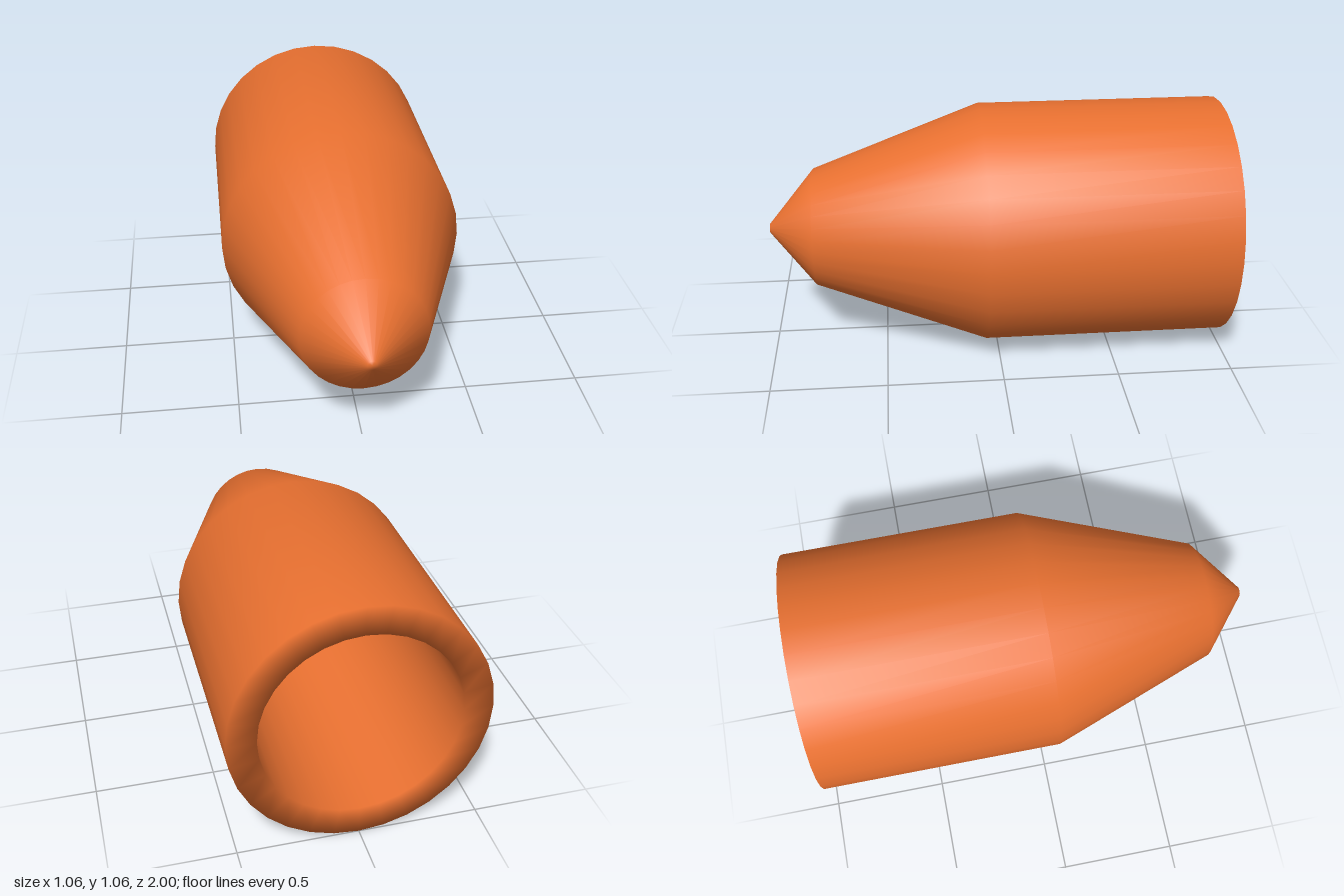
import * as THREE from 'three';

export function createModel() {
  const group = new THREE.Group();
  group.name = 'hollowPointedShell';

  // Profile as [radius, z]: down the inner cavity, across the rear rim, up the outside to the tip
  const profile = [
    [0, 0.8], [0.2, 0.7], [0.41, 0.06], [0.41, -1],
    [0.53, -1], [0.53, 0.06], [0.26, 0.8], [0.02, 1], [0, 1],
  ].map(([r, z]) => new THREE.Vector2(r, z));

  // Revolve, then lay the axis along z with the tip to the front
  const geometry = new THREE.LatheGeometry(profile, 32);
  geometry.rotateX(Math.PI / 2);

  const shell = new THREE.Mesh(geometry, new THREE.MeshStandardMaterial({ color: 0xe87030 }));
  shell.name = 'shell';
  shell.position.y = 0.53;
  group.add(shell);
  return group;
}
